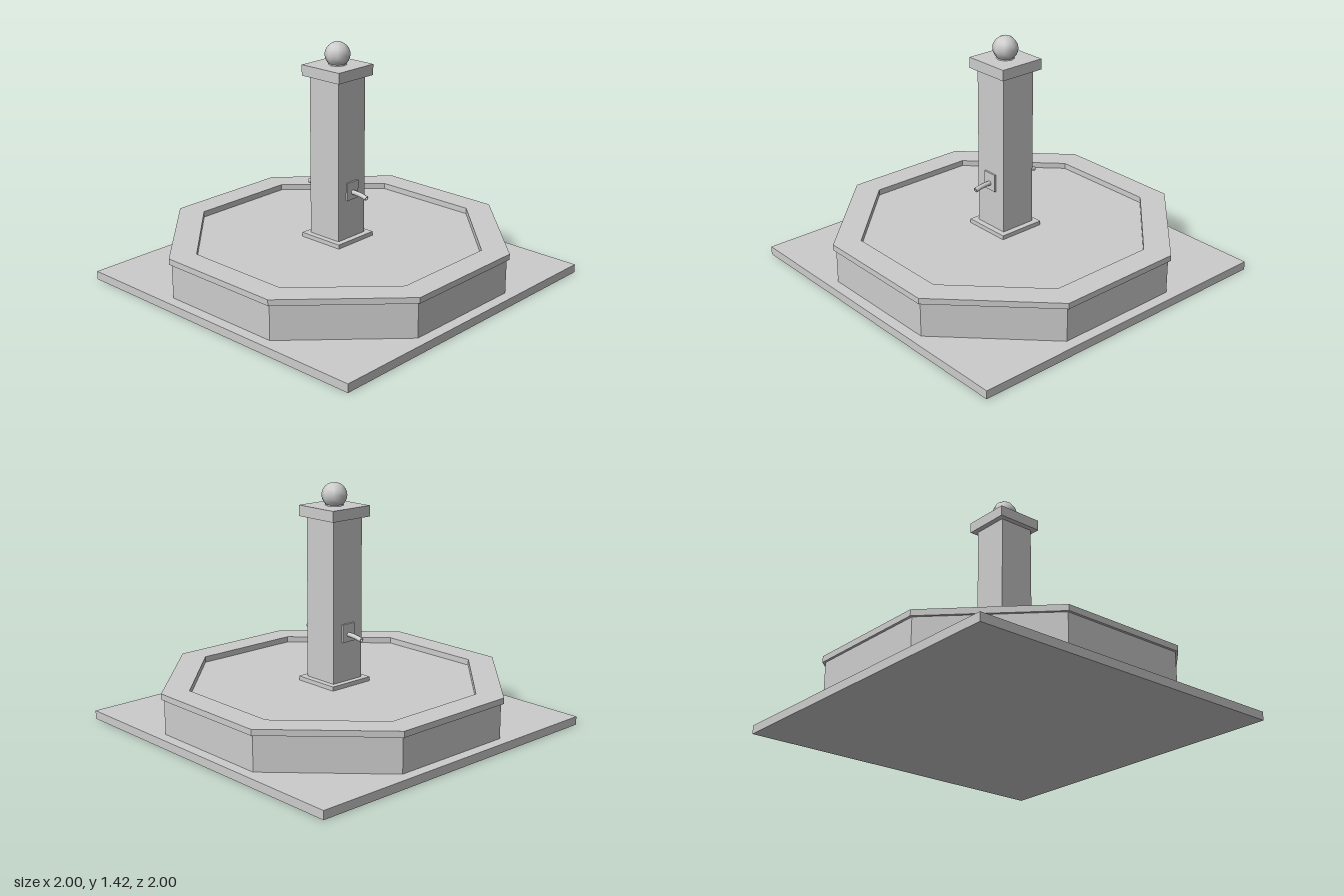
import * as THREE from 'three';

export function createModel() {
  const model = new THREE.Group();
  const stone = new THREE.MeshStandardMaterial({ color: 0xcccccc, side: THREE.DoubleSide });
  stone.name = 'pale stone';

  const add = (name, geometry, x = 0, y = 0, z = 0) => {
    const mesh = new THREE.Mesh(geometry, stone);
    mesh.name = name;
    mesh.position.set(x, y, z);
    model.add(mesh);
    return mesh;
  };
  // Box given by its full width, bottom and top heights
  const block = (name, width, y0, y1) =>
    add(name, new THREE.BoxGeometry(width, y1 - y0, width), 0, (y0 + y1) / 2);

  // Corners of an octagon with flat sides facing the axes
  const octagon = (apothem) => Array.from({ length: 8 }, (_, i) => {
    const a = (i + 0.5) * Math.PI / 4, r = apothem / Math.cos(Math.PI / 8);
    return new THREE.Vector2(r * Math.cos(a), r * Math.sin(a));
  });
  // Upright octagonal slab, optionally with an octagonal opening
  const octagonSlab = (name, outer, inner, y0, y1) => {
    const shape = new THREE.Shape(octagon(outer));
    if (inner) shape.holes.push(new THREE.Path(octagon(inner)));
    const geometry = new THREE.ExtrudeGeometry(shape, { depth: y1 - y0, bevelEnabled: false });
    geometry.rotateX(-Math.PI / 2);
    return add(name, geometry, 0, y0);
  };

  // Paving slab, basin and overhanging rim
  block('pavingSlab', 2, 0, 0.05);
  octagonSlab('basinWall', 0.935, 0.82, 0.05, 0.255);
  octagonSlab('basinSurface', 0.82, 0, 0.05, 0.255);
  octagonSlab('basinRim', 0.95, 0.8, 0.255, 0.29);

  // Pillar with plinth and cap
  block('plinth', 0.29, 0.255, 0.28);
  block('pillar', 0.22, 0.28, 1.227);
  block('cap', 0.284, 1.227, 1.29);

  // Finial: short neck and eight-sided ball
  add('finialNeck', new THREE.CylinderGeometry(0.045, 0.053, 0.025, 8), 0, 1.3);
  add('finialBall', new THREE.SphereGeometry(0.073, 8, 12), 0, 1.349);

  // Spouts on both sides
  for (const side of [1, -1]) {
    add('spoutPlate', new THREE.BoxGeometry(0.014, 0.106, 0.09), side * 0.114, 0.568);
    const path = new THREE.QuadraticBezierCurve3(
      new THREE.Vector3(side * 0.11, 0.557, 0),
      new THREE.Vector3(side * 0.17, 0.56, 0),
      new THREE.Vector3(side * 0.226, 0.544, 0));
    add('spout', new THREE.TubeGeometry(path, 6, 0.014, 8, false));
    add('spoutBore', new THREE.TubeGeometry(path, 6, 0.009, 8, false));
    // Ring closing the lip of the spout
    const lip = add('spoutLip', new THREE.RingGeometry(0.009, 0.014, 8, 1));
    lip.position.copy(path.getPoint(1));
    lip.lookAt(path.getPoint(1).add(path.getTangent(1)));
  }

  return model;
}
